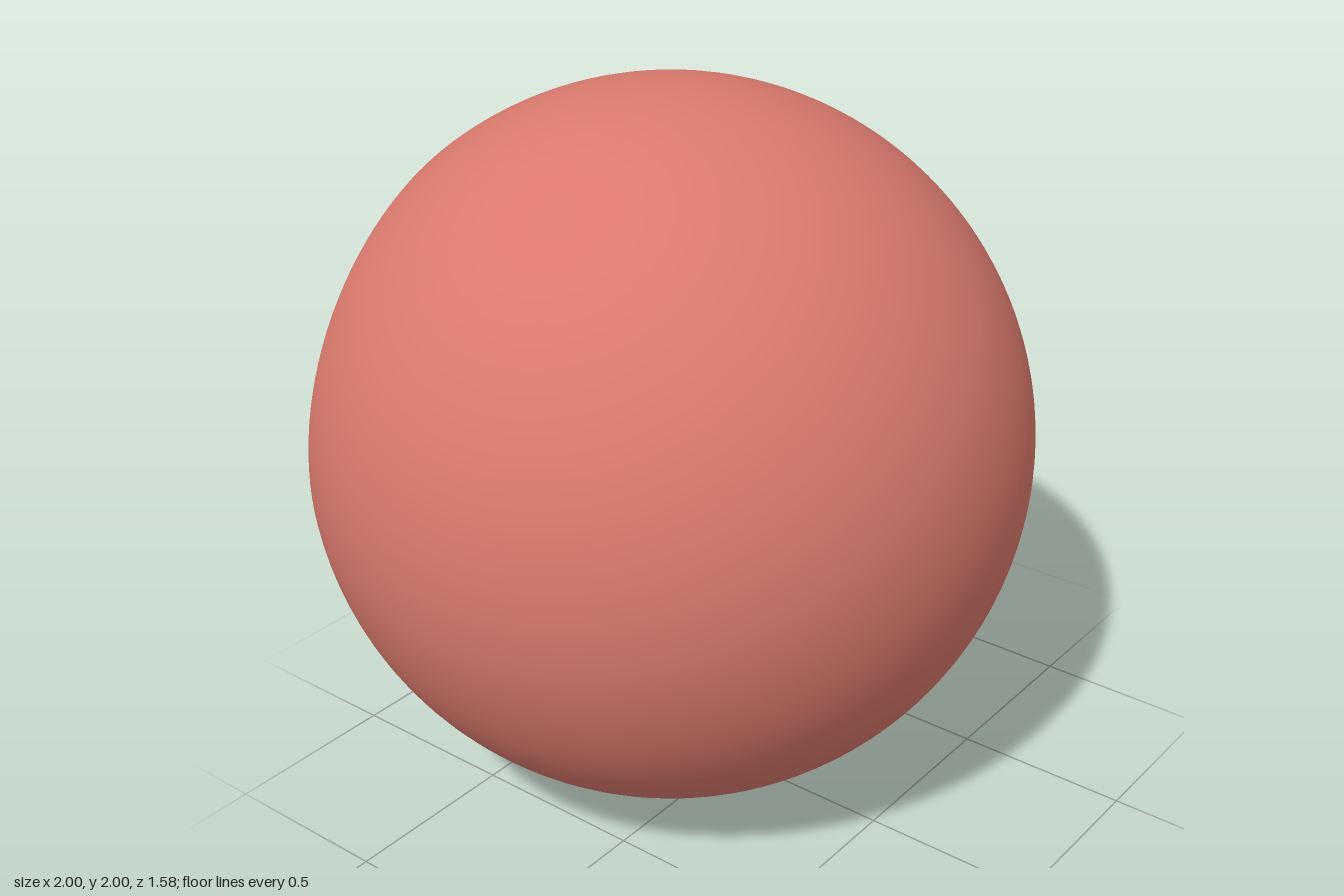
import * as THREE from 'three';
import { mergeGeometries } from 'three/addons/utils/BufferGeometryUtils.js';
import { ParametricGeometry } from 'three/addons/geometries/ParametricGeometry.js';

const OUTER = 1, INNER = 0.957;
const STEP = THREE.MathUtils.degToRad(3);
const HALF = 11 * STEP;            // half-width of the window around the z axis
const T0 = Math.acos(0.55);        // front edge of the window, angle from +z
const T1 = Math.acos(-0.073);      // back edge of the window
const T2 = Math.acos(-0.575);      // rim of the back opening

// Part of a sphere whose pole points to +z
function zone(r, t0, t1, segs, rows) {
  const g = new THREE.SphereGeometry(r, segs, rows, Math.PI + HALF, segs * STEP, t0, t1 - t0);
  return g.rotateX(Math.PI / 2);
}

// Spherical skin with the window left out
function skin(r) {
  return mergeGeometries([
    zone(r, 0, T0, 120, 24),
    zone(r, T0, T1, 98, 16),
    zone(r, T1, T2, 120, 14),
  ]);
}

// Turn a skin inside out
function flip(g) {
  const idx = g.index.array;
  for (let i = 0; i < idx.length; i += 3) [idx[i], idx[i + 1]] = [idx[i + 1], idx[i]];
  const n = g.attributes.normal.array;
  for (let i = 0; i < n.length; i++) n[i] = -n[i];
  return g;
}

// Radial wall joining the two skins along a line from (t0, p0) to (t1, p1)
function wall(t0, t1, p0, p1, segs) {
  return new ParametricGeometry((u, v, out) => {
    const r = THREE.MathUtils.lerp(INNER, OUTER, v);
    const t = THREE.MathUtils.lerp(t0, t1, u);
    const p = THREE.MathUtils.lerp(p0, p1, u);
    out.set(Math.cos(p) * Math.sin(t), Math.sin(p) * Math.sin(t), Math.cos(t)).multiplyScalar(r);
  }, segs, 1);
}

export function createModel() {
  const group = new THREE.Group();
  group.name = 'hollowBall';
  const shellMat = new THREE.MeshStandardMaterial({ color: 0xd9796c });
  const wallMat = new THREE.MeshStandardMaterial({ color: 0xd9796c, side: THREE.DoubleSide });

  const add = (name, geometry, material) => {
    const mesh = new THREE.Mesh(geometry, material);
    mesh.name = name;
    mesh.position.set(0, 1, -0.2125);
    group.add(mesh);
  };

  // Both skins of the ball
  add('outerShell', skin(OUTER), shellMat);
  add('innerShell', flip(skin(INNER)), shellMat);

  // Rim of the round back opening
  add('backRim', wall(T2, T2, HALF, HALF + Math.PI * 2, 120), wallMat);

  // Four edges of the side window
  add('windowFrame', mergeGeometries([
    wall(T0, T0, -HALF, HALF, 22),
    wall(T1, T1, -HALF, HALF, 22),
    wall(T0, T1, HALF, HALF, 16),
    wall(T0, T1, -HALF, -HALF, 16),
  ]), wallMat);

  return group;
}
